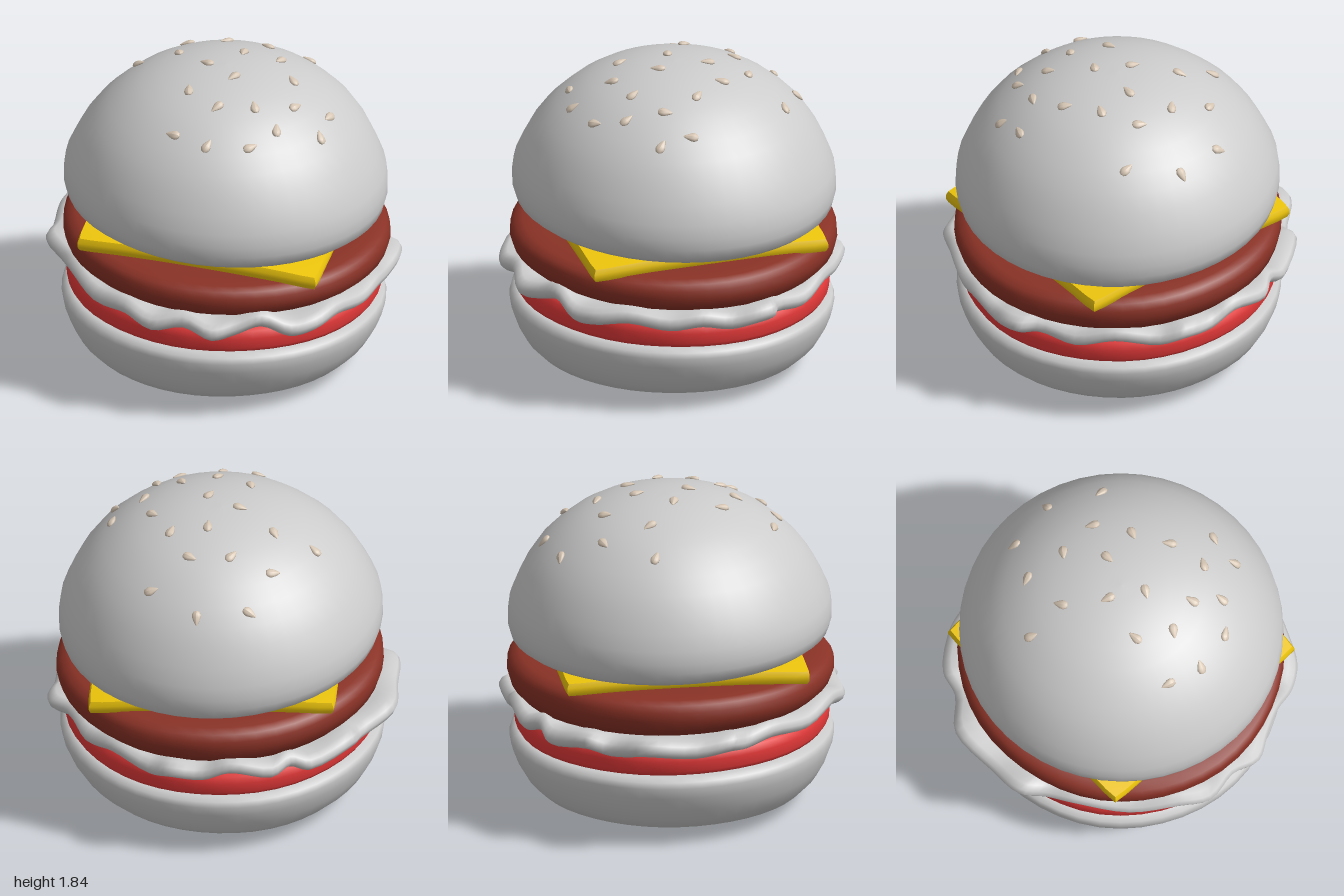
import * as THREE from 'three';

const material = (color) => new THREE.MeshStandardMaterial({ color });
const bread = material(0xcccccc);

function add(group, name, geometry, mat) {
  const mesh = new THREE.Mesh(geometry, mat);
  mesh.name = name;
  group.add(mesh);
  return mesh;
}

// Move every vertex by a rule and refresh the normals
function deform(geometry, rule) {
  const p = geometry.attributes.position;
  const v = new THREE.Vector3();
  for (let i = 0; i < p.count; i++) {
    rule(v.fromBufferAttribute(p, i));
    p.setXYZ(i, v.x, v.y, v.z);
  }
  return geometry;
}

// Round layer: turned profile [radius, y], slightly uneven, tilted by a rule
function layer(profile, rule, wobble = 0) {
  const points = profile.map(([r, y]) => new THREE.Vector2(r, y));
  const geometry = new THREE.LatheGeometry(points, 48);
  return deform(geometry, (v) => {
    const a = Math.atan2(v.z, v.x);
    const s = 1 + wobble * (Math.sin(3 * a + 1) + 0.6 * Math.sin(7 * a));
    v.x *= s;
    v.z *= s;
    rule(v);
  });
}

const bunProfile = [
  [0, 0.955], [0.5, 0.95], [0.76, 0.95], [0.86, 0.965], [0.905, 1.0], [0.922, 1.06], [0.922, 1.12],
  [0.912, 1.2], [0.87, 1.3], [0.82, 1.4], [0.75, 1.5], [0.67, 1.58], [0.58, 1.655], [0.48, 1.715],
  [0.38, 1.757], [0.28, 1.788], [0.18, 1.808], [0.09, 1.817], [0, 1.82],
];

// Height and slope of the dome at a radius
function domeAt(r) {
  for (let i = bunProfile.length - 1; i > 10; i--) {
    const [r0, y0] = bunProfile[i], [r1, y1] = bunProfile[i - 1];
    if (r <= r1) {
      const slope = (y1 - y0) / (r1 - r0);
      return { y: y0 + slope * (r - r0), slope };
    }
  }
  return { y: 1.5, slope: -1.3 };
}

// Lettuce leaf: closed wavy rim [x, z, y], filled by rings of a thin cross-section
function lettuceGeometry() {
  const rim = [
    [0.92, 0.03, 0.6], [0.99, 0.12, 0.61], [0.97, 0.22, 0.6], [0.88, 0.35, 0.57], [0.8, 0.5, 0.6],
    [0.68, 0.65, 0.58], [0.5, 0.82, 0.62], [0.35, 0.94, 0.6], [0.2, 0.97, 0.59], [0.03, 0.95, 0.66],
    [-0.12, 0.95, 0.62], [-0.27, 0.96, 0.6], [-0.42, 0.86, 0.65], [-0.6, 0.8, 0.62], [-0.72, 0.65, 0.66],
    [-0.85, 0.4, 0.62], [-0.93, 0.1, 0.66], [-0.95, -0.08, 0.64], [-1.0, -0.22, 0.67], [-0.92, -0.42, 0.64],
    [-0.8, -0.69, 0.67], [-0.57, -0.79, 0.62], [-0.48, -0.9, 0.66], [-0.2, -0.97, 0.61], [-0.08, -0.95, 0.65],
    [0.04, -0.98, 0.62], [0.28, -0.91, 0.66], [0.42, -0.84, 0.6], [0.6, -0.77, 0.62], [0.68, -0.64, 0.58],
    [0.82, -0.42, 0.62], [0.9, -0.2, 0.57],
  ].map(([x, z, y]) => new THREE.Vector3(x, y, z));
  const curve = new THREE.CatmullRomCurve3(rim, true);
  // [radius scale, height offset, share of the rim's wave]
  const section = [
    [0.2, -0.02, 0], [0.78, -0.025, 0.4], [0.9, -0.045, 0.9], [0.965, -0.05, 1], [0.99, -0.03, 1], [1, 0, 1],
    [0.985, 0.03, 1], [0.95, 0.05, 1], [0.88, 0.045, 0.8], [0.75, 0.025, 0.3], [0.2, 0.02, 0],
  ];
  const n = 128, m = section.length;
  const positions = [], index = [];
  for (let i = 0; i < n; i++) {
    const p = curve.getPoint(i / n);
    for (const [s, dy, wave] of section) {
      const base = 0.62 - 0.03 * p.x * s;
      positions.push(p.x * s, base + (p.y - base) * wave + dy, p.z * s);
    }
    for (let j = 0; j < m - 1; j++) {
      const a = i * m + j, b = ((i + 1) % n) * m + j;
      index.push(a, a + 1, b, b, a + 1, b + 1);
    }
  }
  const geometry = new THREE.BufferGeometry();
  geometry.setAttribute('position', new THREE.Float32BufferAttribute(positions, 3));
  geometry.setIndex(index);
  geometry.computeVertexNormals();
  return geometry;
}

// Cheese: thin square with softened edges and drooping corners
function cheeseGeometry() {
  const half = 0.705;
  const geometry = new THREE.BoxGeometry(2 * half, 0.075, 2 * half, 16, 3, 16);
  deform(geometry, (v) => {
    const edge = Math.max(Math.abs(v.x), Math.abs(v.z)) / half;
    if (edge > 0.99 && Math.abs(v.y) > 0.03) {
      if (Math.abs(v.x) > half * 0.99) v.x *= 0.985;
      if (Math.abs(v.z) > half * 0.99) v.z *= 0.985;
    }
    if (Math.abs(v.x) + Math.abs(v.z) > half * 1.95) {
      v.x *= 0.99;
      v.z *= 0.99;
    }
  });
  geometry.rotateY(-0.43);
  deform(geometry, (v) => {
    const r = Math.hypot(v.x, v.z);
    v.y += 0.922 - 0.045 * v.x - 0.03 * v.z - 0.03 * r ** 4;
  });
  geometry.computeVertexNormals();
  return geometry;
}

export function createModel() {
  const model = new THREE.Group();
  model.name = 'burger';

  // Bottom bun
  add(model, 'bottomBun', layer(
    [[0, 0], [0.3, 0.008], [0.5, 0.022], [0.68, 0.05], [0.78, 0.09], [0.84, 0.15], [0.885, 0.23],
      [0.915, 0.31], [0.925, 0.37], [0.915, 0.405], [0.88, 0.425], [0.8, 0.43], [0, 0.43]],
    (v) => { v.y -= 0.025 * v.x * (v.y / 0.43); v.x -= 0.015; }, 0.003), bread);

  // Tomato slice
  add(model, 'tomato', layer(
    [[0, 0.425], [0.84, 0.425], [0.88, 0.435], [0.895, 0.46], [0.9, 0.52], [0.89, 0.565], [0.86, 0.585],
      [0.8, 0.59], [0, 0.59]],
    (v) => { v.y -= 0.03 * v.x; v.x -= 0.015; }, 0.004), material(0xe83a3a));

  // Lettuce
  add(model, 'lettuce', lettuceGeometry(), bread);

  // Meat patty
  add(model, 'patty', layer(
    [[0, 0.645], [0.8, 0.65], [0.875, 0.67], [0.915, 0.71], [0.932, 0.765], [0.928, 0.815], [0.905, 0.85],
      [0.86, 0.868], [0.78, 0.872], [0, 0.872]],
    (v) => { v.y -= 0.033 * v.x + 0.03 * v.z * (v.y - 0.645) / 0.227; }, 0.004), material(0x8a3226));

  // Cheese slice
  add(model, 'cheese', cheeseGeometry(), material(0xeec60c));

  // Top bun, its base tilted and its crown level
  add(model, 'topBun', layer(bunProfile,
    (v) => { v.y -= 0.05 * v.x * Math.max(0, 1 - (v.y - 0.95) / 0.6); }), bread);

  // Sesame seeds: [x, z, heading of the tip]
  const seeds = [
    [0.08, -0.69, -2.1], [0.37, -0.61, -1.1], [-0.12, -0.53, 3.3], [-0.43, -0.38, 0.9], [0.08, -0.39, 2.6],
    [-0.22, -0.28, -1.7], [0.3, -0.3, -2.2], [0.55, -0.35, 3.3], [0.13, -0.14, 2], [-0.1, -0.04, -2.4],
    [0.33, -0.07, 2.4], [0.02, 0.14, 2.5], [0.36, 0.15, -2], [-0.25, 0.19, -1.3], [-0.12, 0.37, 2.5],
    [0.33, 0.37, -0.6], [0.53, 0.35, 2.4], [0.09, 0.4, -1.6], [-0.39, 0.45, -2.5], [0.19, 0.54, -1.5],
    [0.45, 0.51, -2], [-0.22, 0.58, -0.9], [0.02, 0.63, -0.4],
  ];
  const drop = [[0, -0.042], [0.018, -0.036], [0.027, -0.018], [0.025, 0], [0.015, 0.024], [0.005, 0.042], [0, 0.045]];
  const seedGeometry = new THREE.LatheGeometry(drop.map(([r, y]) => new THREE.Vector2(r, y)), 10);
  seedGeometry.scale(1, 1, 0.6);
  seedGeometry.computeVertexNormals();
  const seedMaterial = material(0xd6c6b4);
  const seedGroup = new THREE.Group();
  seedGroup.name = 'sesameSeeds';
  for (const [x, z, heading] of seeds) {
    const r = Math.hypot(x, z);
    const { y, slope } = domeAt(r);
    const normal = new THREE.Vector3(-slope * x / r, 1, -slope * z / r).normalize();
    const tip = new THREE.Vector3(Math.cos(heading), 0, Math.sin(heading));
    tip.addScaledVector(normal, -tip.dot(normal)).normalize();
    const side = new THREE.Vector3().crossVectors(tip, normal);
    const seed = add(seedGroup, 'seed', seedGeometry, seedMaterial);
    seed.quaternion.setFromRotationMatrix(new THREE.Matrix4().makeBasis(side, tip, normal));
    seed.position.set(x, y, z).addScaledVector(normal, 0.004);
  }
  model.add(seedGroup);
  return model;
}
